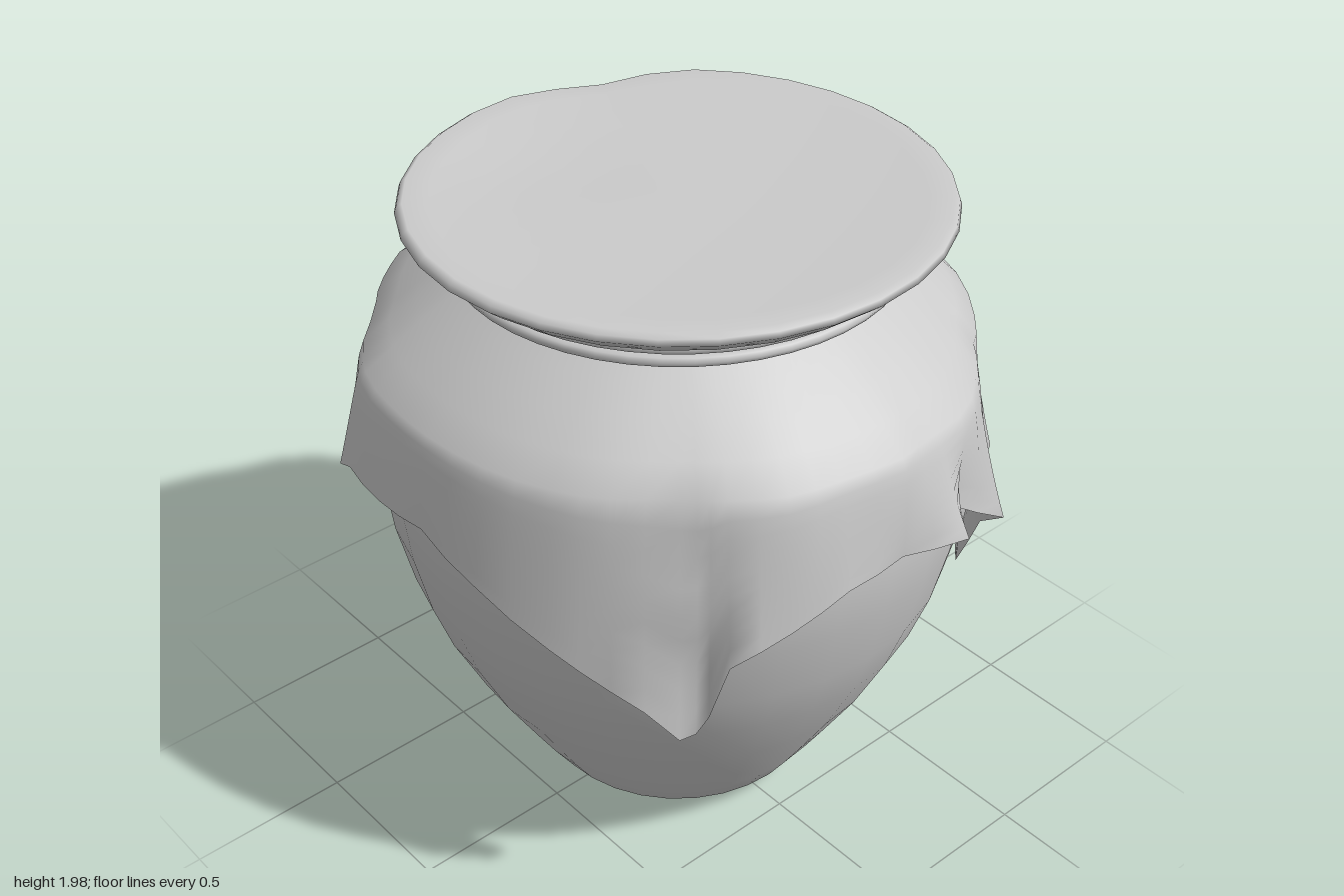
import * as THREE from 'three';
import { mergeVertices } from 'three/addons/utils/BufferGeometryUtils.js';

const v2 = (pts) => pts.map(([r, y]) => new THREE.Vector2(r, y));
const lerp = THREE.MathUtils.lerp;
const AXIS_X = 0.01; // the jar stands slightly off centre under the uneven cloth

// jar silhouette, bottom to neck: radius, height
const JAR = [[0.35, 0], [0.44, 0.08], [0.505, 0.18], [0.565, 0.28], [0.67, 0.46], [0.765, 0.66],
  [0.82, 0.82], [0.865, 1.02], [0.885, 1.2], [0.865, 1.35], [0.795, 1.52], [0.67, 1.67], [0.54, 1.79], [0.53, 1.9]];

// loose hem of the cloth, anticlockwise from the front: x, y, z
const HEM = [
  [0, 1.25, 0.92], [0.17, 1.27, 1.0], [0.25, 1.26, 0.85], [0.48, 1.11, 0.87], [0.49, 1.04, 0.78],
  [0.56, 0.78, 0.65], [0.6, 0.79, 0.61], [0.7, 0.93, 0.57], [0.845, 1.0, 0.51], [0.845, 1.08, 0.36],
  [0.9, 1.2, 0.2], [0.905, 1.26, 0], [0.9, 1.24, -0.2], [0.85, 1.04, -0.57], [0.71, 0.97, -0.585],
  [0.63, 0.77, -0.59], [0.69, 0.77, -0.68], [0.67, 0.79, -0.74], [0.58, 0.97, -0.78], [0.47, 1.13, -0.87], [0.2, 1.22, -0.94],
  [0.06, 1.27, -1.0], [-0.22, 1.24, -0.93], [-0.49, 1.1, -0.91], [-0.55, 1.0, -0.85], [-0.53, 0.78, -0.68],
  [-0.6, 0.88, -0.68], [-0.7, 1.08, -0.61], [-0.87, 1.22, -0.46], [-0.88, 1.25, -0.39], [-0.91, 1.27, 0],
  [-0.9, 1.2, 0.22], [-0.82, 1.07, 0.43], [-0.72, 0.95, 0.56], [-0.67, 0.9, 0.64], [-0.58, 0.77, 0.68],
  [-0.53, 0.77, 0.69], [-0.51, 0.84, 0.72], [-0.51, 1.07, 0.8], [-0.2, 1.24, 0.92],
];

function jarRadius(y) {
  for (let i = 1; i < JAR.length; i++) {
    const [r0, y0] = JAR[i - 1], [r1, y1] = JAR[i];
    if (y <= y1) return lerp(r0, r1, (y - y0) / (y1 - y0));
  }
  return 0.53;
}

// hem resampled in polar form so that long spans stay round
function hemColumns() {
  const polar = HEM.map(([x, y, z]) => ({ a: Math.atan2(x - AXIS_X, z), r: Math.hypot(x - AXIS_X, z), y }));
  const cols = [];
  polar.forEach((p, i) => {
    const q = polar[(i + 1) % polar.length];
    let span = q.a - p.a;
    if (span < -Math.PI) span += Math.PI * 2;
    const n = Math.max(1, Math.round(span / 0.1));
    for (let k = 0; k < n; k++) {
      const t = k / n;
      cols.push({ a: p.a + span * t, r: lerp(p.r, q.r, t), y: lerp(p.y, q.y, t) });
    }
  });
  return cols;
}

// cloth skirt: each column runs from the tie over the shoulder to the hem
function skirtGeometry() {
  const cols = hemColumns(), pos = [], idx = [];
  const top = [[0.55, 1.82], [0.635, 1.755], [0.715, 1.69], [0.787, 1.625]];
  const drop = 9, rows = top.length + drop + 1;
  cols.forEach((c, i) => {
    // near the shoulder the folds soften into the mean of neighbouring columns
    let mean = 0;
    for (let k = -2; k <= 2; k++) mean += cols[(i + k + cols.length) % cols.length].r / 5;
    const flare = mean - 0.9, shoulder = 0.852 + flare * 0.7;
    const put = (r, y) => pos.push(Math.sin(c.a) * r, y, Math.cos(c.a) * r);
    top.forEach(([r, y], k) => put(r + flare * 0.15 * k, y));
    for (let k = 0; k <= drop; k++) {
      const t = k / drop, y = lerp(1.555, c.y, t);
      put(Math.max(jarRadius(y) + 0.015, lerp(shoulder, lerp(mean, c.r, t), t ** 0.65)), y);
    }
    const j = (i + 1) % cols.length;
    for (let k = 0; k < rows - 1; k++) {
      const a = i * rows + k, b = j * rows + k;
      idx.push(a, a + 1, b, b, a + 1, b + 1);
    }
  });
  const g = new THREE.BufferGeometry();
  g.setAttribute('position', new THREE.Float32BufferAttribute(pos, 3));
  g.setIndex(idx);
  g.computeVertexNormals();
  return g;
}

// cloth over the mouth: gathered neck, flared rim and gently sagging top
function lidGeometry() {
  let g = new THREE.LatheGeometry(v2([[0.55, 1.81], [0.61, 1.85], [0.62, 1.885], [0.725, 1.915], [0.772, 1.955],
    [0.766, 1.972], [0.75, 1.983], [0.68, 1.978], [0.55, 1.972], [0.4, 1.966], [0.2, 1.962], [0, 1.962]]), 32);
  const p = g.attributes.position;
  const bump = (x, z, cx, cz, w) => Math.exp(-((x - cx) ** 2 + (z - cz) ** 2) / (w * w));
  for (let i = 0; i < p.count; i++) {
    const x = p.getX(i), y = p.getY(i), z = p.getZ(i);
    if (y < 1.9) continue;
    // dent in the back of the rim, shallow hollow in the top
    const dent = bump(x, z, 0.27, -0.7, 0.18);
    const hollow = y > 1.96 ? 0.015 * bump(x, z, -0.2, -0.4, 0.25) : 0;
    const s = 1 - 0.055 * dent;
    p.setXYZ(i, x * s, y - hollow - 0.015 * dent, z * s);
  }
  g.deleteAttribute('normal');
  g.deleteAttribute('uv');
  g = mergeVertices(g);
  g.computeVertexNormals();
  return g;
}

export function createModel() {
  const group = new THREE.Group();
  const solid = new THREE.MeshStandardMaterial({ color: 0xcccccc });
  const thin = new THREE.MeshStandardMaterial({ color: 0xcccccc, side: THREE.DoubleSide });
  const add = (name, geometry, material) => {
    const mesh = new THREE.Mesh(geometry, material);
    mesh.name = name;
    mesh.position.x = AXIS_X;
    group.add(mesh);
    return mesh;
  };

  add('jarBody', new THREE.LatheGeometry(v2(JAR), 32), thin);
  const base = add('jarBase', new THREE.CircleGeometry(0.35, 32), solid);
  base.rotation.x = Math.PI / 2;

  add('clothSkirt', skirtGeometry(), thin);
  add('clothLid', lidGeometry(), thin);

  // two turns of cord around the neck
  [1.83, 1.868].forEach((y, i) => {
    const cord = add('cord' + (i + 1), new THREE.TorusGeometry(0.635, 0.018, 8, 48), solid);
    cord.rotation.x = Math.PI / 2;
    cord.position.y = y;
  });
  return group;
}
